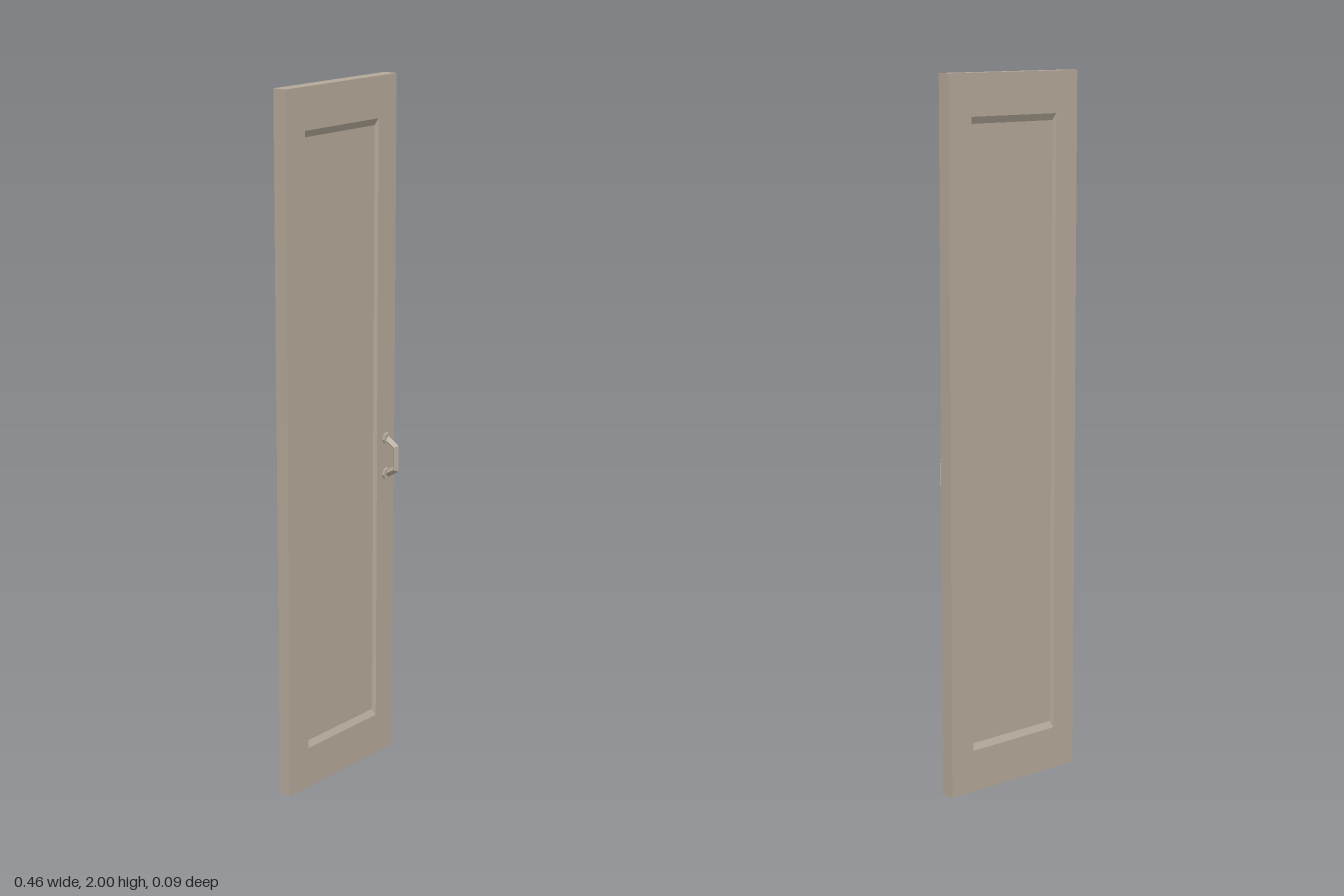
import * as THREE from 'three';

// Skin a list of equal-sized point loops, with both ends capped, in flat facets
function loft(loops) {
  const pos = [];
  const tri = (a, b, c) => pos.push(...a, ...b, ...c);
  const quad = (a, b, c, d) => { tri(a, b, c); tri(a, c, d); };
  for (let i = 0; i < loops.length - 1; i++) {
    const A = loops[i], B = loops[i + 1];
    for (let j = 0; j < 4; j++) {
      const k = (j + 1) % 4;
      quad(A[j], B[j], B[k], A[k]);
    }
  }
  const first = loops[0], last = loops[loops.length - 1];
  quad(...first);
  quad(last[3], last[2], last[1], last[0]);
  const geo = new THREE.BufferGeometry();
  geo.setAttribute('position', new THREE.Float32BufferAttribute(pos, 3));
  geo.computeVertexNormals();
  return geo;
}

const rect = (w, y0, y1, z) => [[-w, y0, z], [w, y0, z], [w, y1, z], [-w, y1, z]];

export function createModel() {
  const model = new THREE.Group();
  model.name = 'cabinetDoor';
  const paint = new THREE.MeshStandardMaterial({ color: 0xb3a898, flatShading: true });
  paint.name = 'taupe paint';

  const add = (name, geo, parent = model) => {
    const mesh = new THREE.Mesh(geo, paint);
    mesh.name = name;
    parent.add(mesh);
    return mesh;
  };

  // Door leaf with a bevelled sunken panel on both faces
  const front = -0.004, back = -0.045, depth = 0.01;
  const sunken = z => rect(0.146, 0.14, 1.866, z);
  const opening = z => rect(0.151, 0.122, 1.885, z);
  const edge = z => rect(0.228, 0, 2, z);
  add('doorLeaf', loft([
    sunken(front - depth), opening(front), edge(front),
    edge(back), opening(back), sunken(back + depth),
  ]));

  // Pull handle: diamond bar mitred along a bent path of [y, z] points
  const handle = new THREE.Group();
  handle.name = 'handle';
  handle.position.set(0.193, 0.915, 0);
  model.add(handle);
  const r = 0.0105;
  const path = [[0.053, -0.002], [0.033, 0.031], [-0.033, 0.031], [-0.053, -0.002]]
    .map(p => new THREE.Vector2(...p));
  const normal = i => {
    const t = path[i + 1].clone().sub(path[i]).normalize();
    return new THREE.Vector2(t.y, -t.x);
  };
  const rings = path.map((p, i) => {
    const a = normal(Math.max(i - 1, 0)), b = normal(Math.min(i, path.length - 2));
    const n = a.clone().add(b).normalize();
    n.multiplyScalar(r / n.dot(a));
    return [[0, p.x + n.x, p.y + n.y], [r, p.x, p.y], [0, p.x - n.x, p.y - n.y], [-r, p.x, p.y]];
  });
  add('handleBar', loft(rings), handle);

  // Round feet against the door
  for (const s of [1, -1]) {
    const foot = add(s > 0 ? 'upperFoot' : 'lowerFoot',
      new THREE.CylinderGeometry(0.019, 0.019, 0.008, 8), handle);
    foot.rotation.x = Math.PI / 2;
    foot.position.set(0, s * 0.053, -0.0005);
  }
  return model;
}
